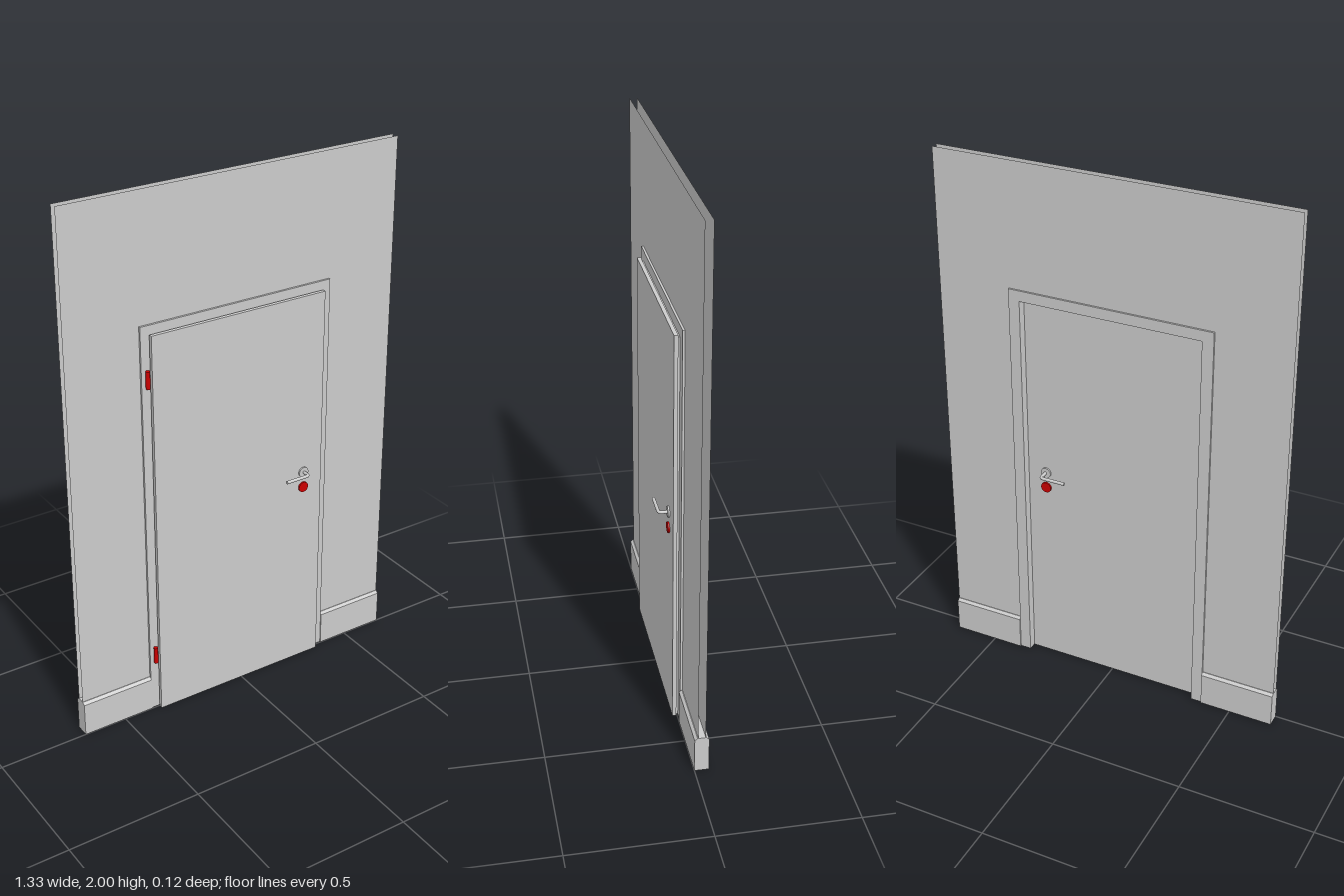
import * as THREE from 'three';

const grey = new THREE.MeshStandardMaterial({ color: 0xcccccc });
const sheet = new THREE.MeshStandardMaterial({ color: 0xcccccc, side: THREE.DoubleSide });
const red = new THREE.MeshStandardMaterial({ color: 0xcc0000 });

// U-shaped outline: a rectangle with a doorway cut up from the floor
function archShape(outerX, outerY, innerX, innerY) {
  return new THREE.Shape([
    [-outerX, 0], [-innerX, 0], [-innerX, innerY], [innerX, innerY],
    [innerX, 0], [outerX, 0], [outerX, outerY], [-outerX, outerY],
  ].map(([x, y]) => new THREE.Vector2(x, y)));
}

export function createModel() {
  const model = new THREE.Group();
  model.name = 'doorInWall';

  function add(name, geometry, material, x = 0, y = 0, z = 0, parent = model) {
    const mesh = new THREE.Mesh(geometry, material);
    mesh.name = name;
    mesh.position.set(x, y, z);
    parent.add(mesh);
    return mesh;
  }

  // Wall: two open sheets with the doorway left out
  const wall = new THREE.ShapeGeometry(archShape(0.665, 2, 0.375, 1.525));
  add('wallFront', wall, sheet, 0, 0, -0.012);
  add('wallBack', wall, sheet, 0, 0, -0.039);

  // Door frame
  const frame = new THREE.ExtrudeGeometry(archShape(0.385, 1.535, 0.343, 1.495),
    { depth: 0.042, bevelEnabled: false });
  add('doorFrame', frame, grey, 0, 0, -0.046);

  // Skirting: wraps both wall faces, chamfered along the top
  const profile = new THREE.Shape([
    [0, 0], [0, 0.128], [0.01, 0.137], [0.041, 0.137], [0.051, 0.128], [0.051, 0],
  ].map(([x, y]) => new THREE.Vector2(x, y)));
  const skirting = new THREE.ExtrudeGeometry(profile, { depth: 0.28, bevelEnabled: false });
  skirting.rotateY(Math.PI / 2); // length along +x, thickness towards -z
  add('skirtingRight', skirting, grey, -0.665);
  add('skirtingLeft', skirting, grey, 0.385);

  // Door: rebated core inside the frame, wider leaf overlapping its front
  add('doorCore', new THREE.BoxGeometry(0.684, 1.494, 0.018), grey, 0, 0.747, -0.006);
  add('doorLeaf', new THREE.BoxGeometry(0.705, 1.504, 0.014), grey, -0.0025, 0.752, 0.01);

  // Hinges
  const hinge = new THREE.CylinderGeometry(0.008, 0.008, 0.065, 16);
  for (const y of [0.235, 1.343]) add('hinge', hinge, red, -0.365, y, 0.004);

  // Lever handle, rosette and lock on each side of the door
  const disc = new THREE.CylinderGeometry(0.02, 0.02, 0.006, 32).rotateX(Math.PI / 2);
  for (const [side, face, reach] of [['Front', 0.017, 0.053], ['Back', -0.015, -0.059]]) {
    const dir = Math.sign(reach);
    const handle = new THREE.Group();
    handle.name = 'handle' + side;
    model.add(handle);
    add('rosette', disc, grey, 0.27, 0.81, face + dir * 0.003, handle);
    add('lock', disc, red, 0.27, 0.748, face + dir * 0.003, handle);

    const bend = reach - dir * 0.012;
    const path = new THREE.CurvePath();
    const p = (x, z) => new THREE.Vector3(x, 0.81, z);
    path.add(new THREE.LineCurve3(p(0.271, face), p(0.271, bend)));
    path.add(new THREE.QuadraticBezierCurve3(p(0.271, bend), p(0.271, reach), p(0.259, reach)));
    path.add(new THREE.LineCurve3(p(0.259, reach), p(0.173, reach)));
    add('lever', new THREE.TubeGeometry(path, 60, 0.006, 16), grey, 0, 0, 0, handle);

    // Flat cap on the free end of the lever
    const cap = new THREE.CircleGeometry(0.006, 16).rotateY(-Math.PI / 2);
    add('leverEnd', cap, grey, 0.173, 0.81, reach, handle);
  }

  return model;
}
